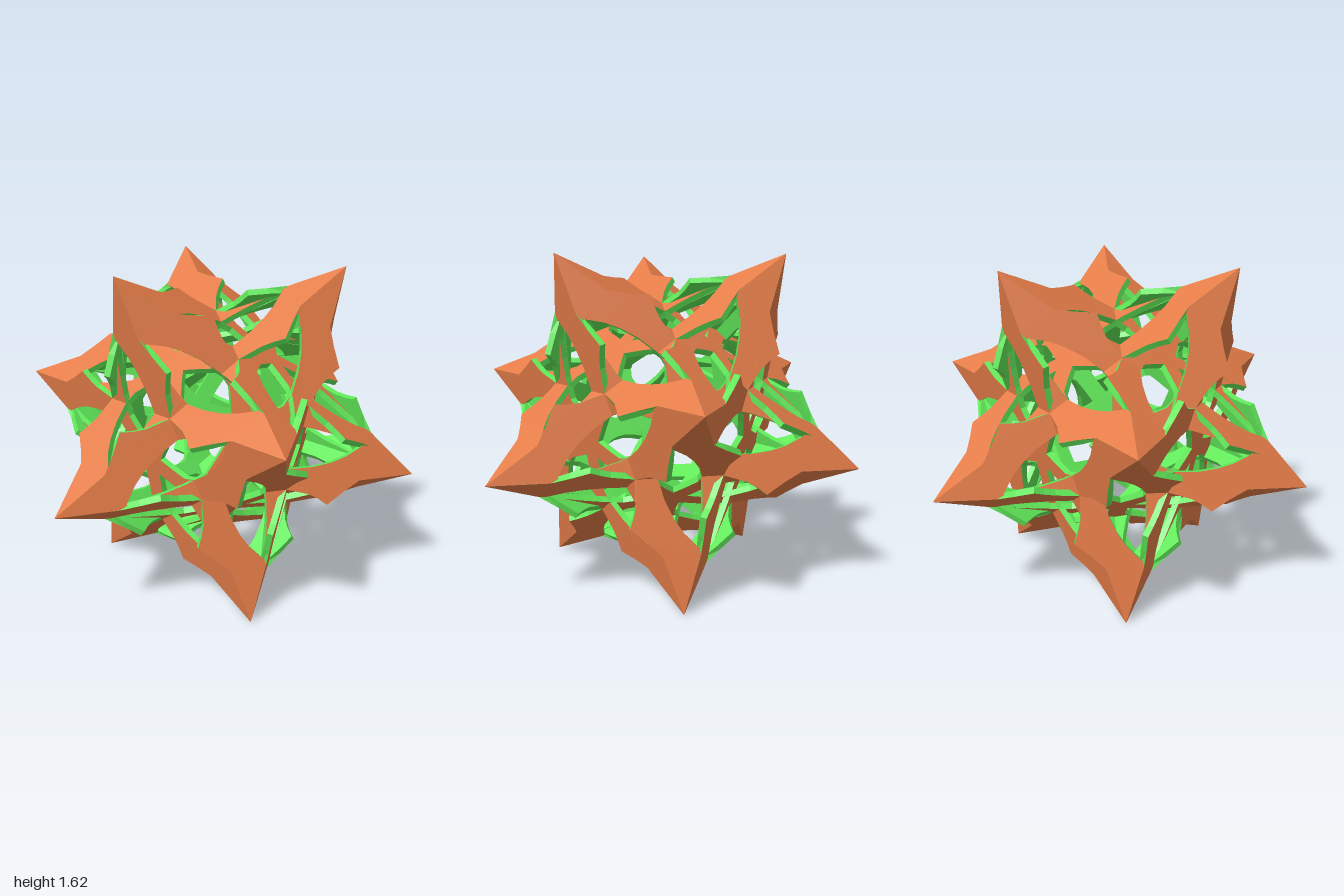
import * as THREE from 'three';

const UNIT = 0.535;   // half the edge of the icosahedron that carries the tips
const THICK = 0.055;  // panel thickness, in those units
const TIP = 1.7013;   // tip distance from the panel centre

// One fifth of the outline: [x, y, mitre x, mitre y]; the tip points along +x.
// The mitre pulls the inner face in where neighbouring panels meet at a ridge.
const OUTLINE = [
  [0.526, -0.382], [0.744, -0.381], [0.85, -0.405], [0.948, -0.441],
  [1.07, -0.295], [1.196, -0.164, -0.19, 0.588], [TIP, 0, -2, 0], [1.196, 0.164, -0.19, -0.588],
];

// Petal-shaped opening in each arm; the spokes between them meet in a hub
const PETAL = [
  [0.15, 0], [0.293, -0.108], [0.4, -0.18], [0.53, -0.19], [0.72, -0.135], [0.88, -0.06],
  [1.0, 0.02], [1.13, 0.145], [0.95, 0.175], [0.78, 0.19], [0.6, 0.195], [0.4, 0.18], [0.293, 0.108],
];

// One arm's share of a loop, as matching outer and inner points
function armLoop(points, arm) {
  const axis = new THREE.Vector3(0, 0, 1);
  const place = (x, y, z) => new THREE.Vector3(x, y, z).applyAxisAngle(axis, arm * Math.PI * 0.4);
  return {
    outer: points.map(([x, y]) => place(x, y, 0)),
    inner: points.map(([x, y, mx = 0, my = 0]) => place(x + mx * THICK, y + my * THICK, -THICK)),
  };
}

function fromTriangles(list) {
  const g = new THREE.BufferGeometry();
  g.setAttribute('position', new THREE.Float32BufferAttribute(list.flatMap((p) => p.toArray()), 3));
  g.computeVertexNormals();
  return g;
}

// Panel as an outer face and a body (rims plus inner face)
function panelGeometries() {
  const arms = [0, 1, 2, 3, 4];
  const fifths = arms.map((i) => armLoop(OUTLINE, i));
  const rim = { outer: fifths.flatMap((f) => f.outer), inner: fifths.flatMap((f) => f.inner) };
  const petals = arms.map((i) => armLoop(PETAL.slice().reverse(), i));
  const loops = [rim, ...petals];
  const outer = loops.flatMap((l) => l.outer);
  const inner = loops.flatMap((l) => l.inner);
  const flat = (loop) => loop.outer.map((p) => new THREE.Vector2(p.x, p.y));
  const face = [], body = [];
  for (const [i, j, k] of THREE.ShapeUtils.triangulateShape(flat(rim), petals.map(flat))) {
    face.push(outer[i], outer[j], outer[k]);
    body.push(inner[i], inner[k], inner[j]);
  }
  for (const loop of loops) {
    loop.outer.forEach((p, i) => {
      const j = (i + 1) % loop.outer.length;
      body.push(p, loop.inner[i], loop.inner[j], p, loop.inner[j], loop.outer[j]);
    });
  }
  return { face: fromTriangles(face), body: fromTriangles(body) };
}

// Icosahedron vertex directions, resting on a face
function tipDirections() {
  const dirs = [];
  for (let i = 0; i < 3; i++) {
    const t = i * Math.PI * 2 / 3;
    const high = new THREE.Vector3(-0.618 * Math.cos(t), 0.809, 0.618 * Math.sin(t));
    const mid = new THREE.Vector3(Math.cos(t), 0.191, Math.sin(t));
    dirs.push(high, mid, high.clone().negate(), mid.clone().negate());
  }
  return dirs.map((d) => d.normalize());
}

export function createModel() {
  const model = new THREE.Group();
  model.name = 'wovenStar';
  const faceMaterial = new THREE.MeshStandardMaterial({ color: 0xe47c48, flatShading: true });
  const bodyMaterial = new THREE.MeshStandardMaterial({ color: 0x60e858, flatShading: true });
  const geometry = panelGeometries();

  // One five-armed panel per dodecahedron plane
  const dirs = tipDirections();
  for (const normal of dirs) {
    const tip = dirs.find((d) => Math.abs(d.dot(normal) - 0.447) < 0.05);
    const along = tip.clone().addScaledVector(normal, -tip.dot(normal)).normalize();
    const across = new THREE.Vector3().crossVectors(normal, along);
    const panel = new THREE.Group();
    panel.name = 'starPanel';
    const face = new THREE.Mesh(geometry.face, faceMaterial);
    face.name = 'panelOuterFace';
    const body = new THREE.Mesh(geometry.body, bodyMaterial);
    body.name = 'panelRimAndInnerFace';
    panel.add(face, body);
    panel.quaternion.setFromRotationMatrix(new THREE.Matrix4().makeBasis(along, across, normal));
    panel.position.copy(normal).multiplyScalar(0.8507 * UNIT);
    panel.position.y += 0.809;
    panel.scale.setScalar(UNIT);
    model.add(panel);
  }
  return model;
}
